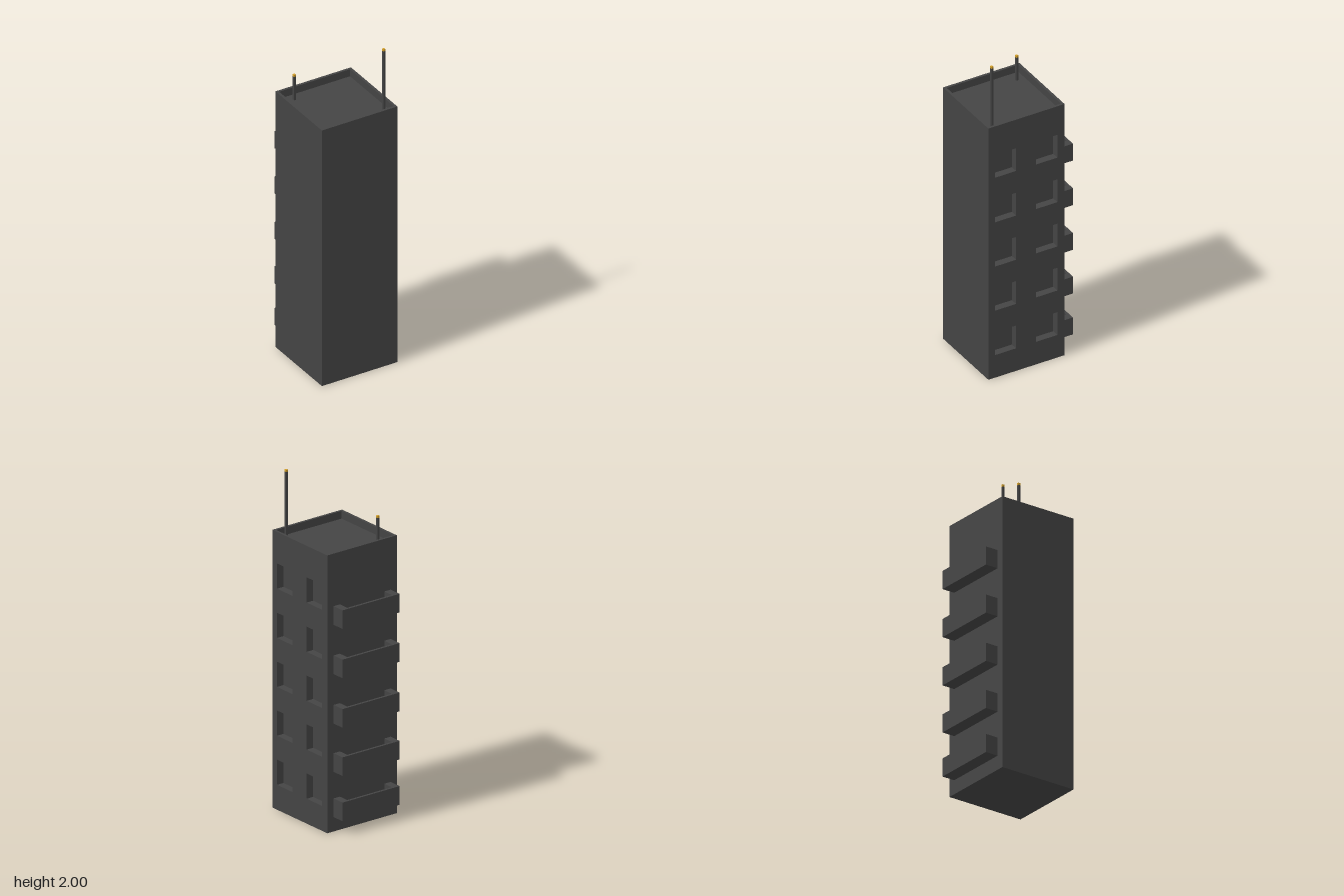
import * as THREE from 'three';

const concrete = new THREE.MeshStandardMaterial({ color: 0x444444 });
const amber = new THREE.MeshStandardMaterial({ color: 0xd4a02a });

// Tower extents
const X = 0.243, Z0 = -0.204, Z1 = 0.283, TOP = 1.64, ROOF = 1.595, RIM = 0.015;
const RECESS = 0.045;

function add(parent, name, geometry, material = concrete) {
  const mesh = new THREE.Mesh(geometry, material);
  mesh.name = name;
  parent.add(mesh);
  return mesh;
}

// Box given by its low and high corners
function block(x0, x1, y0, y1, z0, z1) {
  return new THREE.BoxGeometry(x1 - x0, y1 - y0, z1 - z0)
    .translate((x0 + x1) / 2, (y0 + y1) / 2, (z0 + z1) / 2);
}

const polygon = (pts) => pts.map(([a, b]) => new THREE.Vector2(a, b));
const rect = (a0, a1, b0, b1) => polygon([[a0, b0], [a1, b0], [a1, b1], [a0, b1]]);

function extrude(points, holes, depth) {
  const shape = new THREE.Shape(points);
  shape.holes = holes.map((h) => new THREE.Path(h));
  return new THREE.ExtrudeGeometry(shape, { depth, bevelEnabled: false });
}

// Square mast with a coloured tip
function antenna(name, x, z, top) {
  const group = new THREE.Group();
  group.name = name;
  const r = 0.0065, tip = 0.013;
  add(group, 'mast', block(x - r, x + r, ROOF, top - tip, z - r, z + r));
  add(group, 'tip', block(x - r, x + r, top - tip, top, z - r, z + r), amber);
  return group;
}

// Open-topped balcony against the back wall
function balcony(y) {
  const group = new THREE.Group();
  group.name = 'balcony';
  const w = 0.199, inner = 0.155, out = 0.284, lip = 0.269, h = 0.11, floor = 0.015;
  const b = -Z0;
  const u = polygon([[-w, b], [-inner, b], [-inner, lip], [inner, lip],
    [inner, b], [w, b], [w, out], [-w, out]]);
  add(group, 'balconyWalls', extrude(u, [], h).rotateX(-Math.PI / 2));
  add(group, 'balconyFloor', block(-inner, inner, 0, floor, -lip, Z0));
  group.position.y = y;
  return group;
}

export function createModel() {
  const model = new THREE.Group();
  model.name = 'towerBlock';

  // Solid body up to the roof deck
  add(model, 'body', block(-X, X - RECESS, 0, ROOF, Z0, Z1));

  // Left-hand wall pierced by two columns of recessed windows
  const windows = [];
  for (const y of [0.147, 0.437, 0.725, 1.014, 1.305]) {
    windows.push(rect(-0.242, -0.106, y, y + 0.149));
    windows.push(rect(0.021, 0.158, y, y + 0.149));
  }
  add(model, 'windowWall', extrude(rect(-Z1, -Z0, 0, ROOF), windows, RECESS)
    .rotateY(Math.PI / 2).translate(X - RECESS, 0, 0));

  // Parapet around the roof
  const hole = rect(-X + RIM, X - RIM, -Z1 + RIM, -Z0 - RIM);
  add(model, 'parapet', extrude(rect(-X, X, -Z1, -Z0), [hole], TOP - ROOF)
    .rotateX(-Math.PI / 2).translate(0, ROOF, 0));

  // Balconies up the back
  for (const y of [0.085, 0.352, 0.637, 0.929, 1.22]) model.add(balcony(y));

  // Roof antennas
  model.add(antenna('tallAntenna', 0.188, 0.229, 2));
  model.add(antenna('shortAntenna', -0.161, -0.139, 1.757));
  return model;
}
